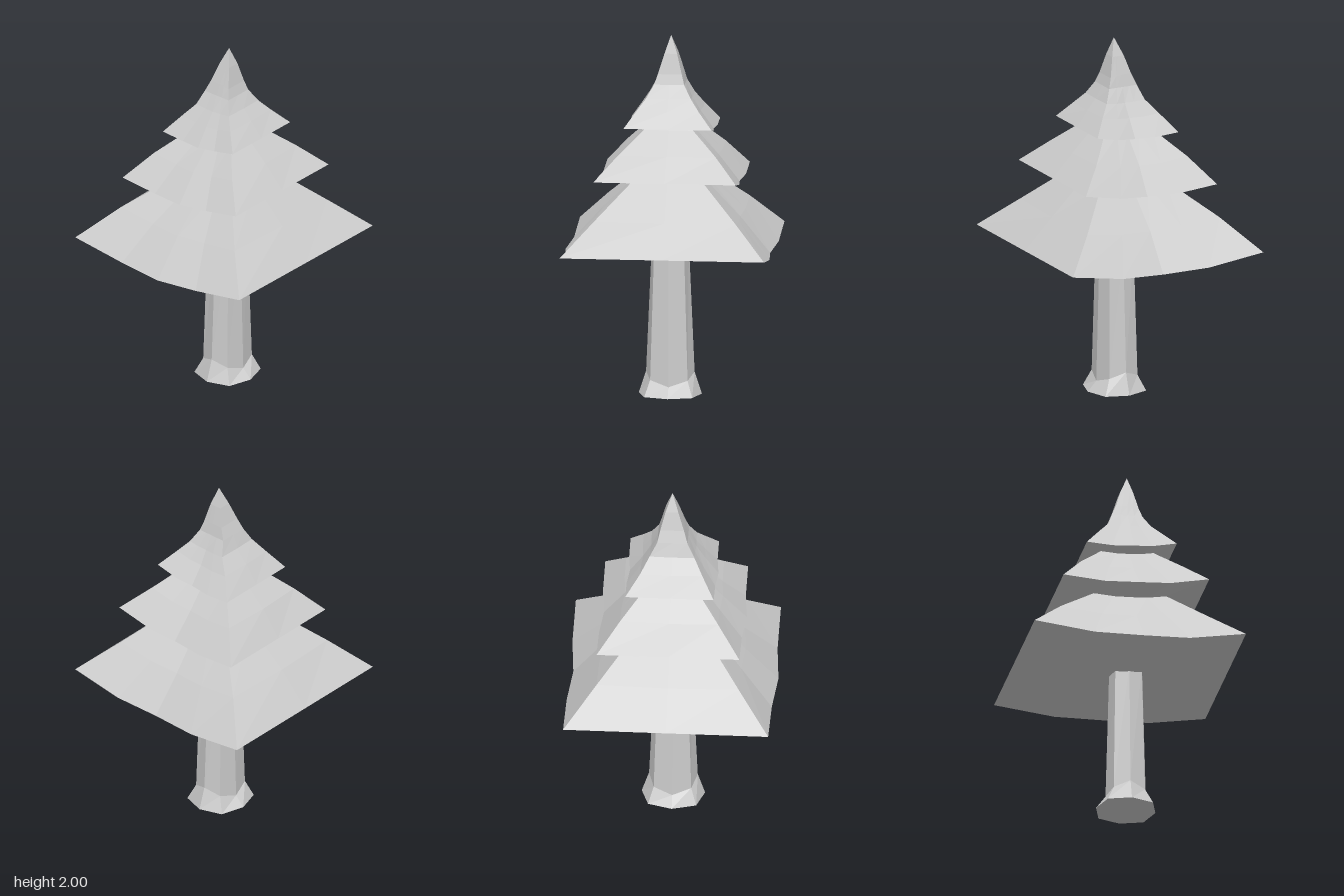
import * as THREE from 'three';

const material = new THREE.MeshStandardMaterial({ color: 0xcccccc, flatShading: true });

// Joins rings of points (counter-clockwise from above, bottom to top) and closes both ends
function loft(name, rings) {
  const pos = [];
  const tri = (a, b, c) => pos.push(...a, ...b, ...c);
  const n = rings[0].length;
  for (let r = 0; r < rings.length - 1; r++) {
    const lo = rings[r], hi = rings[r + 1];
    for (let i = 0; i < n; i++) {
      const j = (i + 1) % n;
      tri(lo[i], lo[j], hi[j]);
      tri(lo[i], hi[j], hi[i]);
    }
  }
  const cap = (ring, centre, up) => {
    for (let i = 0; i < n; i++) {
      const j = (i + 1) % n;
      if (up) tri(centre, ring[i], ring[j]);
      else tri(centre, ring[j], ring[i]);
    }
  };
  for (const up of [false, true]) {
    const ring = up ? rings[rings.length - 1] : rings[0];
    // point 2 is the front middle, point 8 the back middle
    const f = ring[ring.mids[0]], b = ring[ring.mids[1]];
    cap(ring, f.map((v, k) => (v + b[k]) / 2), up);
  }
  const geo = new THREE.BufferGeometry();
  geo.setAttribute('position', new THREE.Float32BufferAttribute(pos, 3));
  geo.computeVertexNormals();
  const mesh = new THREE.Mesh(geo, material);
  mesh.name = name;
  return mesh;
}

// Square branch ring: sags in the middle and tilts up toward +x
function branchRing([x0, x1, z0, z1, yL, yM, yR, bend = 0, bulge = 0]) {
  const cx = (x0 + x1) / 2 + bend, cz = (z0 + z1) / 2;
  const point = (u, z, mid) => [
    cx + (u < 0 ? u * (cx - x0) : u * (x1 - cx)),
    yM + u * (yR - yL) / 2 + u * u * ((yL + yR) / 2 - yM),
    z + (mid ? bend : 0),
  ];
  const us = [-1, -0.45, 0, 0.45, 1];
  const front = us.map(u => point(u, z1, u === 0));
  const back = us.map(u => point(-u, z0, u === 0));
  const right = point(1, cz), left = point(-1, cz);
  right[0] += bulge;
  left[0] -= bulge;
  const ring = [...front, right, ...back, left];
  ring.mids = [2, 8];
  return ring;
}

// Eight-sided trunk ring, high at front and back, low at the sides
function trunkRing([y, wave, rx, rz, c]) {
  const dirs = [[-c, c], [0, 1], [c, c], [1, 0], [c, -c], [0, -1], [-c, -c], [-1, 0]];
  const ring = dirs.map(([x, z]) => [0.028 + x * rx, y + wave * (z * z - x * x), -0.007 + z * rz]);
  ring.mids = [1, 5];
  return ring;
}

export function createModel() {
  const tree = new THREE.Group();
  tree.name = 'tree';

  tree.add(loft('trunk', [
    [0, 0, 0.165, 0.173, 0.76],
    [0.088, 0.033, 0.113, 0.133, 0.77],
    [0.83, 0, 0.092, 0.102, 0.8],
  ].map(trunkRing)));

  // Ring columns: x0, x1, z0, z1, left y, middle y, right y, bend, side bulge
  const tiers = {
    lowerBranches: [
      [-0.59, 0.585, -0.573, 0.547, 0.835, 0.79, 0.86, 0.02],
      [-0.41, 0.405, -0.4, 0.375, 1.015, 0.99, 1.03, 0.012, 0.012],
      [-0.18, 0.215, -0.2, 0.18, 1.205, 1.2, 1.22, 0.005, 0.008],
      [-0.09, 0.14, -0.12, 0.1, 1.3, 1.3, 1.3],
    ],
    middleBranches: [
      [-0.395, 0.415, -0.402, 0.378, 1.205, 1.19, 1.25, 0.016],
      [-0.275, 0.285, -0.28, 0.255, 1.35, 1.335, 1.375, 0.01, 0.01],
      [-0.135, 0.165, -0.145, 0.125, 1.485, 1.48, 1.495, 0.004, 0.005],
      [-0.06, 0.11, -0.09, 0.07, 1.57, 1.57, 1.57],
    ],
    topBranches: [
      [-0.235, 0.265, -0.255, 0.228, 1.485, 1.48, 1.52, 0.011],
      [-0.155, 0.192, -0.178, 0.162, 1.585, 1.58, 1.605, 0.006, 0.005],
      [-0.092, 0.142, -0.13, 0.115, 1.66, 1.655, 1.665, 0.003, 0.003],
      [-0.065, 0.105, -0.09, 0.075, 1.735, 1.735, 1.735],
      [-0.038, 0.088, -0.075, 0.055, 1.8, 1.8, 1.79],
      [-0.007, 0.064, -0.048, 0.022, 1.9, 1.9, 1.9],
      [0.035, 0.035, -0.012, -0.012, 2, 2, 2],
    ],
  };
  for (const [name, rows] of Object.entries(tiers)) tree.add(loft(name, rows.map(branchRing)));

  return tree;
}
